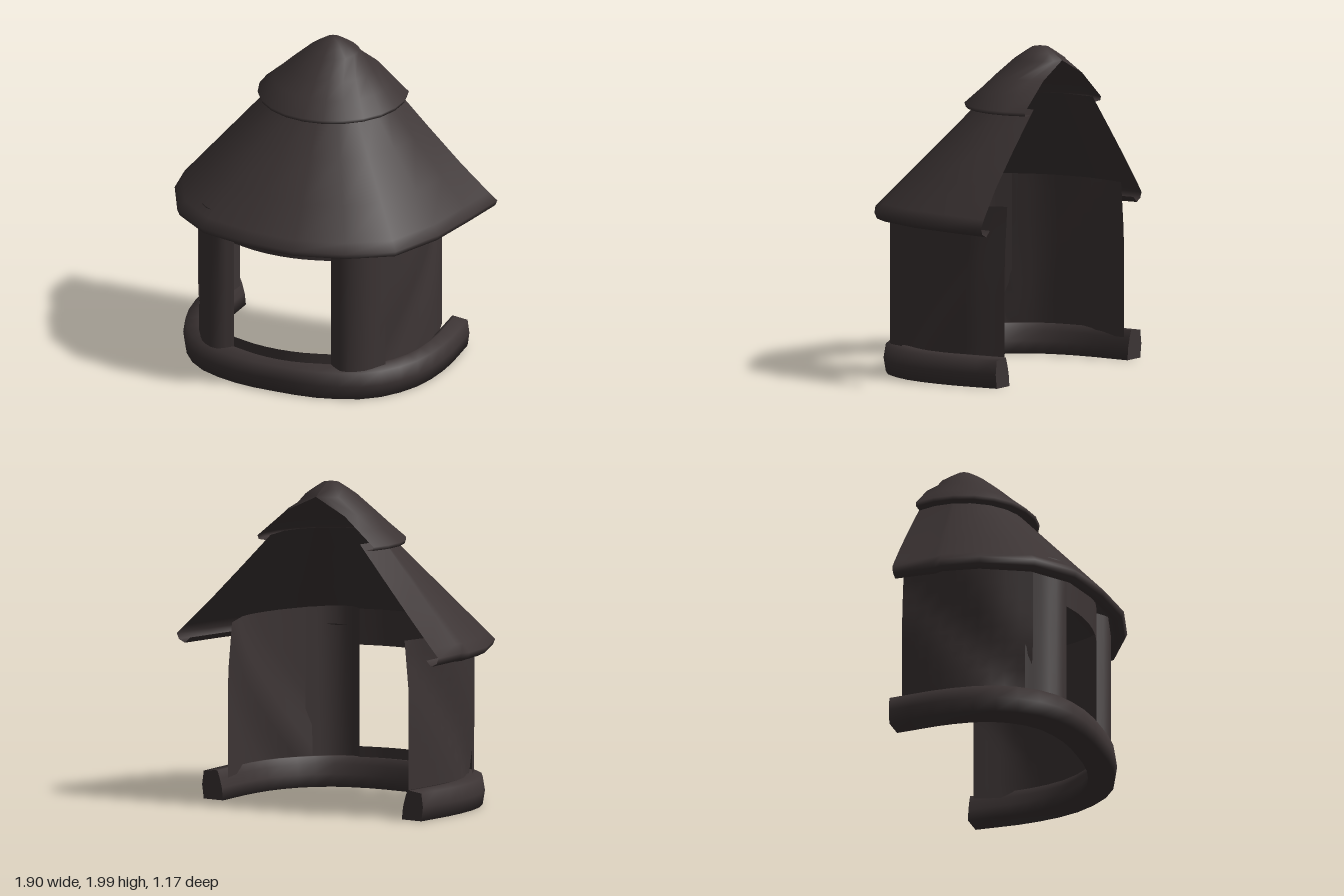
import * as THREE from 'three';

const CX = -0.04, CZ = -0.38; // axis of the round hut

// Smooth skin over rows of points, rows from top to bottom, columns from -x to +x
function sheet(rows) {
  const n = rows[0].length, index = [];
  for (let i = 0; i < rows.length - 1; i++) {
    for (let j = 0; j < n - 1; j++) {
      const a = i * n + j, b = a + 1, c = a + n, d = c + 1;
      index.push(a, c, b, b, c, d);
    }
  }
  const g = new THREE.BufferGeometry();
  g.setAttribute('position', new THREE.Float32BufferAttribute(rows.flat(2), 3));
  g.setIndex(index);
  g.computeVertexNormals();
  return g;
}

// Smooth ground plan [x, z] through a few points, sampled evenly
function plan(points, cols) {
  const curve = new THREE.CatmullRomCurve3(points.map(([x, z]) => new THREE.Vector3(x, 0, z)));
  return curve.getSpacedPoints(cols).map(p => [p.x, p.z]);
}

// Plan point scaled about the axis at height y; the open back stays on its cutting plane
const at = ([x, z], s, y) => [CX + (x - CX) * s, y, z > CZ ? CZ + (z - CZ) * s : z];

const polar = (r, a, y) => [CX + r * Math.sin(a), y, CZ + r * Math.cos(a)];

export function createModel() {
  const model = new THREE.Group();
  const thatch = new THREE.MeshStandardMaterial({ color: 0x3c3434, side: THREE.DoubleSide });
  thatch.name = 'dark brown';
  const add = (name, geometry) => {
    const mesh = new THREE.Mesh(geometry, thatch);
    mesh.name = name;
    model.add(mesh);
  };

  // Top cap of the roof, each ring cut off at the open back
  const capProfile = [[0.001, 2], [0.05, 1.992], [0.1, 1.96], [0.157, 1.92], [0.27, 1.82],
    [0.36, 1.735], [0.457, 1.65], [0.45, 1.627], [0.395, 1.625]];
  add('roofCap', sheet(capProfile.map(([r, y]) => {
    const m = Math.acos(Math.max(-1, -0.162 / r));
    return Array.from({ length: 15 }, (_, j) => polar(r, m * (j / 7 - 1), y));
  })));

  // Main roof with an uneven rim [x, z]
  const rim = [[-0.94, -0.53], [-0.93, -0.27], [-0.95, -0.22], [-0.91, 0.02], [-0.76, 0.32], [-0.52, 0.5],
    [-0.2, 0.57], [0.12, 0.585], [0.43, 0.5], [0.69, 0.34], [0.83, 0.02], [0.9, -0.32], [0.95, -0.59]];
  const last = rim.length - 1;
  const isEnd = j => j === 0 || j === last;
  const roofTop = rim.map(([x, z], j) => isEnd(j)
    ? [CX + (j ? 0.33 : -0.33), 1.66, -0.545]
    : polar(0.36, Math.atan2(x - CX, z - CZ), 1.66));
  const roofRow = t => roofTop.map(([x, y, z], j) => [
    x + (rim[j][0] - x) * t, y + (1.01 - y) * t, z + (rim[j][1] - z) * (isEnd(j) ? t ** 4 : t)]);
  const lip = (s, y) => rim.map(p => at(p, s, y));
  add('roof', sheet([roofRow(0), roofRow(0.33), roofRow(0.66), roofRow(0.92), roofRow(1),
    lip(0.985, 0.975), lip(0.94, 0.955), lip(0.9, 0.99)]));

  // Bulging posts, with lintel and sill between them
  const wall = (name, points, y0, y1, cols) => {
    const line = plan(points, cols);
    add(name, sheet([y1, (y0 + y1) / 2, y0].map(y => line.map(p => at(p, 1, y)))));
  };
  const front = [[-0.37, 0.36], [-0.21, 0.405], [-0.05, 0.42], [0.11, 0.405], [0.27, 0.36]];
  wall('rightPost', [[-0.66, 0.22], [-0.57, 0.36], [-0.46, 0.415], [-0.37, 0.36]], 0.15, 1.1, 8);
  wall('leftPost', [[0.27, 0.36], [0.36, 0.415], [0.48, 0.36], [0.57, 0.22]], 0.15, 1.1, 8);
  wall('windowLintel', front, 0.88, 1.1, 8);
  wall('windowSill', front, 0.15, 0.26, 8);

  // Side panels with a fold running up and back
  const N = 10;
  const panel = (name, points, backFirst) => {
    const line = plan(points, N), rows = [];
    for (let i = 0; i <= N; i++) {
      const v = 1 - i / N;
      rows.push(line.map((p, j) => {
        const u = backFirst ? 1 - j / N : j / N;
        return at(p, 0.965 + 0.045 * Math.min(1, Math.abs(v - u) * 3), 0.15 + 0.95 * v);
      }));
    }
    add(name, sheet(rows));
  };
  panel('rightPanel', [[-0.72, -0.54], [-0.75, -0.25], [-0.73, 0.02], [-0.64, 0.26]], true);
  panel('leftPanel', [[0.55, 0.26], [0.64, 0.02], [0.67, -0.25], [0.6, -0.54]], false);

  // Rounded base ring with closed ends: [scale, height] outside and inside
  const basePlan = plan([[-0.86, -0.58], [-0.875, -0.2], [-0.81, 0.12], [-0.62, 0.37], [-0.32, 0.49],
    [-0.03, 0.51], [0.25, 0.49], [0.54, 0.37], [0.72, 0.12], [0.785, -0.2], [0.77, -0.58]], 24);
  const outer = [[0.88, 0.195], [0.985, 0.185], [1, 0.1], [0.985, 0.015]];
  const inner = [[0.86, 0.195], [0.84, 0.15], [0.82, 0.09], [0.81, 0.015]];
  const loop = [...outer, ...[...inner].reverse(), outer[0]];
  add('baseRing', sheet(loop.map(([s, y]) => basePlan.map(p => at(p, s, y)))));
  const baseEnd = (name, p, left, right) =>
    add(name, sheet(left.map((l, i) => [at(p, ...l), at(p, ...right[i])])));
  baseEnd('rightBaseEnd', basePlan[0], inner, outer);
  baseEnd('leftBaseEnd', basePlan[basePlan.length - 1], outer, inner);
  return model;
}
